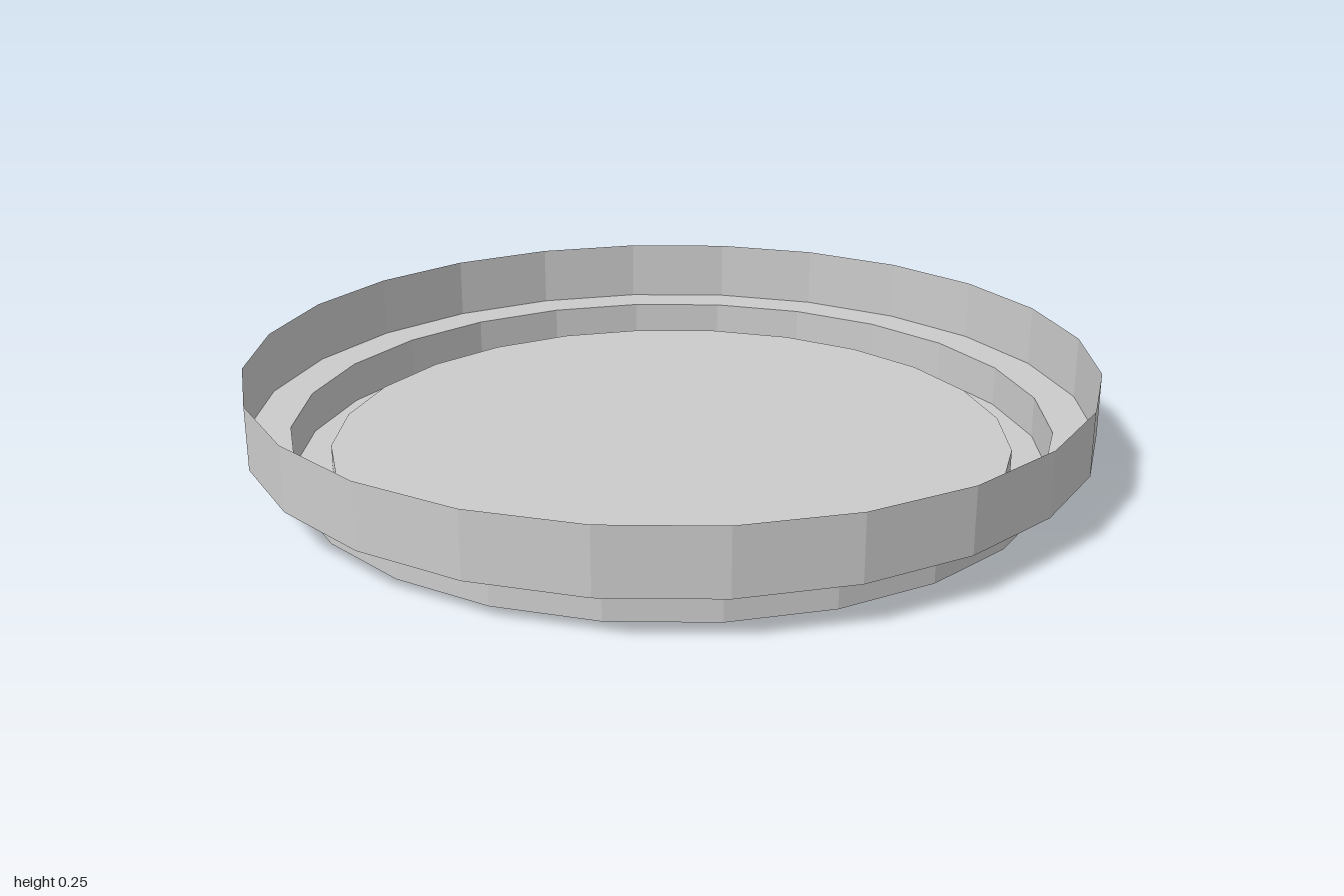
import * as THREE from 'three';

const SIDES = 24;
const material = new THREE.MeshStandardMaterial({
  color: 0xcccccc, flatShading: true, side: THREE.DoubleSide,
});

// Thin faceted band swept between two [radius, height] points
function band(name, from, to) {
  const points = [from, to].map(([r, y]) => new THREE.Vector2(r, y));
  const geometry = new THREE.LatheGeometry(points, SIDES).toNonIndexed();
  geometry.computeVertexNormals();
  const mesh = new THREE.Mesh(geometry, material);
  mesh.name = name;
  return mesh;
}

export function createModel() {
  const tray = new THREE.Group();
  tray.name = 'steppedTray';

  // Stepped wall, from the recessed floor out to the open rim
  tray.add(
    band('floorRiser', [0.81, 0], [0.81, 0.05]),
    band('footRing', [0.81, 0], [0.9, 0]),
    band('lowerWall', [0.9, 0], [0.9, 0.1]),
    band('ledge', [0.9, 0.1], [1, 0.1]),
    band('rimWall', [1, 0.1], [1, 0.25]),
  );

  // Raised floor disc
  const floor = new THREE.Mesh(new THREE.CircleGeometry(0.81, SIDES), material);
  floor.name = 'floor';
  floor.rotation.x = -Math.PI / 2;
  floor.position.y = 0.05;
  tray.add(floor);

  return tray;
}
